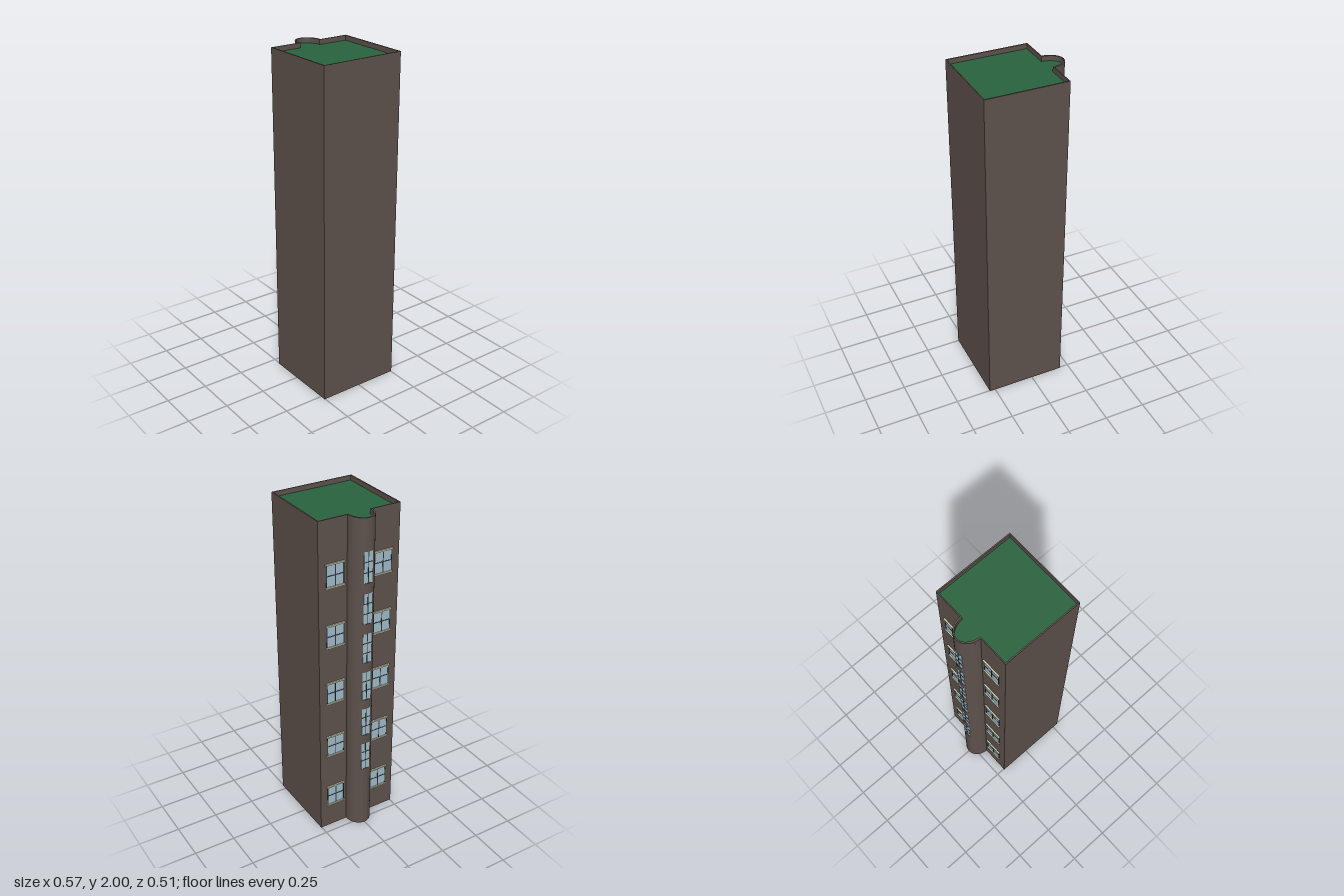
import * as THREE from 'three';
import { toCreasedNormals } from 'three/addons/utils/BufferGeometryUtils.js';

const mat = (color) => new THREE.MeshStandardMaterial({ color });

export function createModel() {
  const group = new THREE.Group();
  group.name = 'towerBlock';
  const wall = mat(0x5d514c), green = mat(0x2a633e), cream = mat(0xd0d0b4);
  const glass = mat(0x9fbac6), dark = mat(0x2e3840);

  const add = (name, geo, material, parent = group) => {
    const mesh = new THREE.Mesh(geo, material);
    mesh.name = name;
    parent.add(mesh);
    return mesh;
  };
  const box = (name, material, parent, size, pos) =>
    add(name, new THREE.BoxGeometry(...size), material, parent).position.set(...pos);

  const X0 = -0.196, X1 = 0.286, Z = 0.254, RX = 0.092, RZ = 0.076;
  const ROOF = 1.97, CUT = 0.36; // CUT: half angle of the bay's window strip

  // Points along the elliptical bay, angles measured from its outermost point
  const arc = (a, b, rx = RX, rz = RZ, cx = X0, n = 32) =>
    Array.from({ length: n + 1 }, (_, i) => {
      const t = a + ((b - a) * i) / n;
      return new THREE.Vector2(cx - rx * Math.cos(t), rz * Math.sin(t));
    });
  // Rectangle joined to the given bay points
  const plan = (x0, x1, z, bay) => [
    new THREE.Vector2(x0, -z), new THREE.Vector2(x1, -z),
    new THREE.Vector2(x1, z), new THREE.Vector2(x0, z), ...bay,
  ];
  const extrude = (shape, y0, y1) => {
    const geo = new THREE.ExtrudeGeometry(shape, { depth: y1 - y0, bevelEnabled: false });
    geo.rotateX(-Math.PI / 2).translate(0, y0, 0);
    return toCreasedNormals(geo, 0.3);
  };

  // Body, with the bay trimmed flat where the window strip runs
  const H = Math.PI / 2;
  const trimmed = plan(X0, X1, Z, [...arc(H, CUT), ...arc(-CUT, -H)]);
  add('body', extrude(new THREE.Shape(trimmed), 0, ROOF), wall);

  // Parapet around the roof
  const rim = new THREE.Shape(plan(X0, X1, Z, arc(H, -H)));
  const inner = plan(X0 + 0.006, X1 - 0.006, Z - 0.008, arc(H, -H, 0.091, 0.066, X0 + 0.006));
  rim.holes.push(new THREE.Path(inner));
  add('parapet', extrude(rim, ROOF, 2), wall);

  // Green roof surface
  const roof = new THREE.ShapeGeometry(new THREE.Shape(inner));
  roof.rotateX(-Math.PI / 2).translate(0, ROOF + 0.001, 0);
  add('roof', roof, green);

  // Curved wall bands between the bay windows
  const chord = new THREE.Shape(arc(CUT, -CUT, RX, RZ, X0, 12));
  const step = 0.244, first = 0.41, winH = 0.182, count = 6;
  for (let i = 0; i <= count; i++) {
    const y0 = i === 0 ? 0 : first + (i - 1) * step + winH;
    const y1 = i === count ? ROOF : first + i * step;
    add('bayBand', extrude(chord, y0, y1), wall);
  }

  // Bay windows: two panes wide, three high
  const bx = X0 - RX * Math.cos(CUT), bw = 2 * RZ * Math.sin(CUT);
  for (let i = 0; i < count; i++) {
    const win = new THREE.Group();
    win.name = 'bayWindow';
    win.position.set(bx, first + i * step + winH / 2, 0);
    group.add(win);
    box('glass', glass, win, [0.003, winH, bw], [-0.0005, 0, 0]);
    box('mullion', dark, win, [0.005, winH, 0.004], [-0.001, 0, 0]);
    for (const k of [-1, 1])
      box('glazingBar', dark, win, [0.005, 0.004, bw], [-0.001, (k * winH) / 6, 0]);
  }

  // Side windows: five storeys on both sides of the bay
  for (const side of [-1, 1]) {
    for (let i = 0; i < 5; i++) {
      const win = new THREE.Group();
      win.name = 'sideWindow';
      win.position.set(X0, 0.225 + i * 0.364, side * 0.151);
      group.add(win);
      box('glass', glass, win, [0.004, 0.134, 0.11], [0, 0, 0]);
      box('mullion', dark, win, [0.007, 0.134, 0.005], [0, 0, 0]);
      box('glazingBar', dark, win, [0.007, 0.005, 0.11], [0, 0, 0]);
      for (const k of [-1, 1]) {
        box('frameSide', dark, win, [0.007, 0.134, 0.004], [0, 0, k * 0.054]);
        box(k > 0 ? 'lintel' : 'sill', cream, win, [0.016, 0.009, 0.12], [-0.001, k * 0.067, 0]);
      }
    }
  }
  return group;
}
